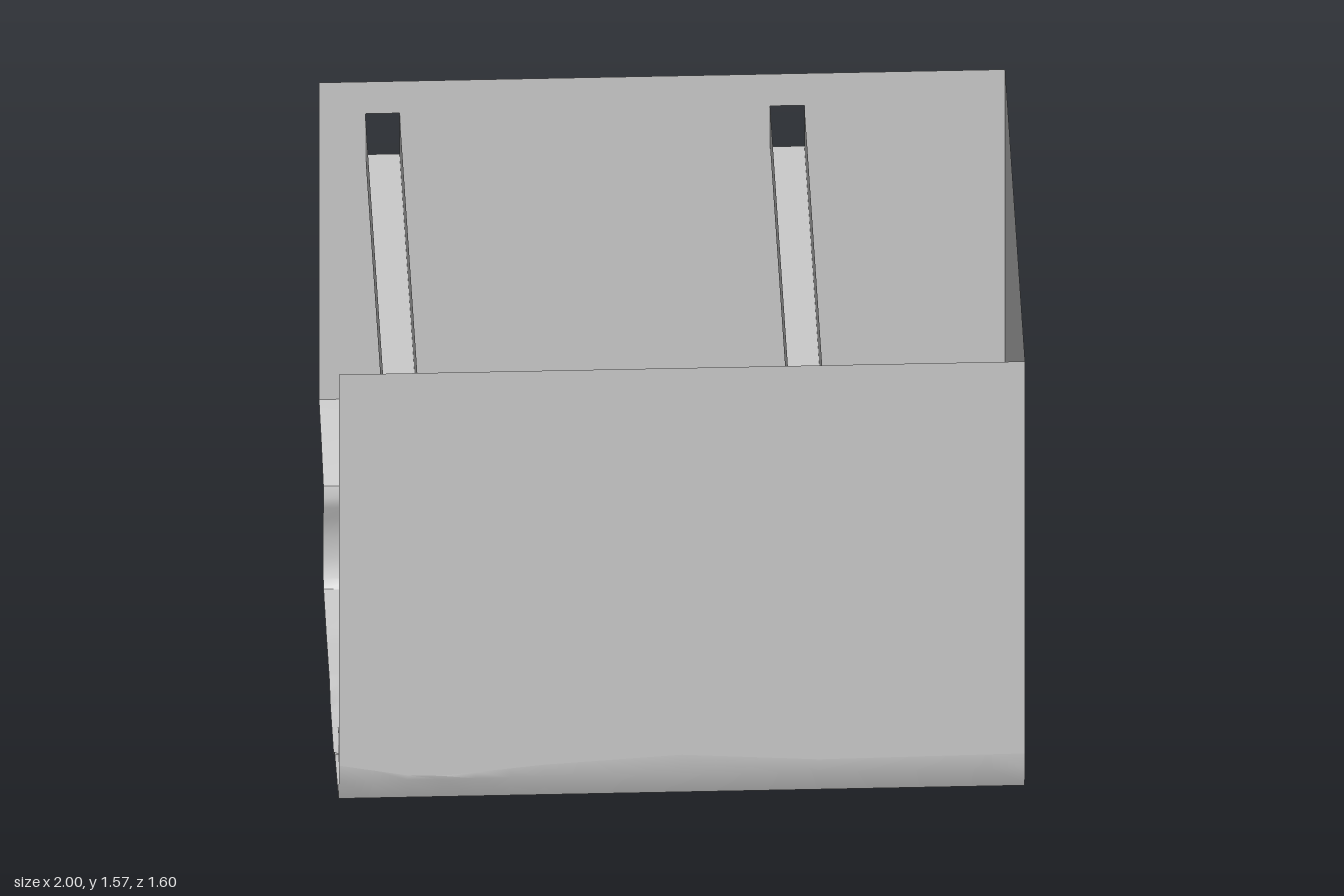
import * as THREE from 'three';
import { toCreasedNormals } from 'three/addons/utils/BufferGeometryUtils.js';

const material = new THREE.MeshStandardMaterial({ color: 0xcccccc, side: THREE.DoubleSide });
const beamCentres = [-0.815, 0.365];
const beam = { half: 0.05, bottom: 1.32, top: 1.46 };
const wallTop = 1.57;

// Piecewise linear lookup through [x, value] pairs
function along(points, x) {
  for (let i = 1; i < points.length; i++) {
    const [x0, a] = points[i - 1], [x1, b] = points[i];
    if (x <= x1) return THREE.MathUtils.lerp(a, b, (x - x0) / (x1 - x0));
  }
  return points.at(-1)[1];
}

// Lines that run the length of the ravine
const backCrease = x => along([[-1, -0.445], [-0.5, -0.43], [0.3, -0.575], [1, -0.62]], x);
const backFoot = x => backCrease(x) + along([[-1, 0.01], [-0.6, 0.04], [0.5, 0.03], [1, 0]], x);
const frontLip = x => along([[-1, 0.71], [-0.75, 0.76], [-0.25, 0.68], [0.4, 0.71], [1, 0.74]], x);
const frontBase = x => along([[-1, 0.225], [-0.75, 0.178], [-0.4, 0.215], [0, 0.24], [0.4, 0.215], [1, 0.222]], x);
const frontFoot = 0.765;

// Winding stream that runs into a round pool
const stream = new THREE.CatmullRomCurve3(
  [[-1.15, 0.1], [-1, 0.25], [-0.83, 0.37], [-0.62, 0.4], [-0.42, 0.33], [-0.22, 0.17], [0, 0.1], [0.2, 0.06]]
    .map(([x, z]) => new THREE.Vector3(x, 0, z))).getPoints(40);

function floorHeight(x, z) {
  const ground = along([[backFoot(x), 0.058], [-0.2, 0.04], [0.36, 0.042], [frontFoot, 0.09]], z);
  const streamDistance = Math.min(...stream.map(p => Math.hypot(x - p.x, z - p.z)));
  const inStream = 1 - THREE.MathUtils.smoothstep(streamDistance, 0.09, 0.16);
  const inPool = 1 - THREE.MathUtils.smoothstep(Math.hypot(x - 0.45, z - 0.03), 0.31, 0.4);
  const bed = along([[-1, 0], [-0.25, 0], [0.1, 0.015], [1, 0.015]], x);
  return THREE.MathUtils.lerp(ground, bed, Math.max(inStream, inPool));
}

// Surface through cross-sections: section(x) returns a list of [z, y]
function loft(section, steps, crease) {
  const positions = [], index = [];
  let n = 0;
  for (let i = 0; i <= steps; i++) {
    const x = -1 + 2 * i / steps;
    const row = section(x);
    n = row.length;
    for (const [z, y] of row) positions.push(x, y, z);
  }
  for (let i = 0; i < steps; i++) {
    for (let j = 0; j < n - 1; j++) {
      const a = i * n + j, b = a + n;
      index.push(a, a + 1, b, b, a + 1, b + 1);
    }
  }
  const geometry = new THREE.BufferGeometry();
  geometry.setAttribute('position', new THREE.Float32BufferAttribute(positions, 3));
  geometry.setIndex(index);
  return toCreasedNormals(geometry, crease);
}

function rectangle(Type, x0, y0, x1, y1) {
  return new Type([[x0, y0], [x1, y0], [x1, y1], [x0, y1]].map(p => new THREE.Vector2(...p)));
}

export function createModel() {
  const group = new THREE.Group();
  const add = (name, geometry, parent = group) => {
    const mesh = new THREE.Mesh(geometry, material);
    mesh.name = name;
    parent.add(mesh);
    return mesh;
  };

  // Ravine floor with stream bed and pool
  add('floor', loft(x => {
    const row = [], start = backFoot(x);
    for (let j = 0; j <= 44; j++) {
      const z = THREE.MathUtils.lerp(start, frontFoot, j / 44);
      row.push([z, floorHeight(x, z)]);
    }
    return row;
  }, 64, 0.7));

  // Back bank: sloping ledge, then an undercut bulge down to the floor
  add('backBank', loft(x => {
    const c = backCrease(x);
    return [[-0.8, 0.48], [(c - 0.8) / 2, 0.452], [c, 0.405], [c + 0.01, 0.37], [c, 0.33],
      [c - 0.02, 0.28], [c - 0.032, 0.21], [c - 0.03, 0.14], [c - 0.012, 0.08], [backFoot(x), 0.058]];
  }, 20, 0.6));

  // Front bank: foot of the slope, hollow face and overhanging lip
  add('frontBank', loft(x => [[frontFoot, 0.09], [0.797, 0.17], [0.8, frontBase(x)],
    [frontLip(x), 0.3], [0.8, 0.335]], 20, 0.6));

  // Front wall follows the uneven top of the bank
  const front = new THREE.Shape().moveTo(1, wallTop).lineTo(-1, wallTop);
  for (let i = 0; i <= 20; i++) front.lineTo(-1 + i / 10, frontBase(-1 + i / 10));
  add('frontWall', new THREE.ShapeGeometry(front)).position.z = 0.8;

  // Back wall with a socket at the end of each beam
  const back = rectangle(THREE.Shape, -1, 0.48, 1, wallTop);
  for (const x of beamCentres) {
    back.holes.push(rectangle(THREE.Path, x - beam.half, beam.bottom, x + beam.half, beam.top));
  }
  add('backWall', new THREE.ShapeGeometry(back)).position.z = -0.8;

  // End wall with an arched doorway, drawn in z and y
  const end = new THREE.Shape().moveTo(-0.8, wallTop).lineTo(-0.8, 0.48).lineTo(-0.62, 0.405)
    .lineTo(-0.62, 0.058).lineTo(-0.2, 0.04).lineTo(-0.15, 0.04).lineTo(-0.15, 0.395);
  for (let i = 1; i <= 10; i++) {
    const a = Math.PI * (1 - i / 10);
    end.lineTo(0.055 + 0.205 * Math.cos(a), 0.395 + 0.138 * Math.sin(a));
  }
  end.lineTo(0.26, 0.04).lineTo(0.36, 0.042).lineTo(frontFoot, 0.09).lineTo(0.797, 0.17)
    .lineTo(0.8, 0.222).lineTo(0.8, wallTop);
  add('endWall', new THREE.ShapeGeometry(end).rotateY(-Math.PI / 2)).position.x = 1;

  // Open-topped channel beams spanning from front to back
  const height = beam.top - beam.bottom;
  for (const x of beamCentres) {
    const channel = new THREE.Group();
    channel.name = 'channelBeam';
    channel.position.set(x, beam.bottom, 0);
    add('beamBottom', new THREE.PlaneGeometry(beam.half * 2, 1.6).rotateX(-Math.PI / 2), channel);
    for (const side of [-1, 1]) {
      add('beamSide', new THREE.PlaneGeometry(1.6, height).rotateY(side * Math.PI / 2), channel)
        .position.set(side * beam.half, height / 2, 0);
    }
    group.add(channel);
  }
  return group;
}
